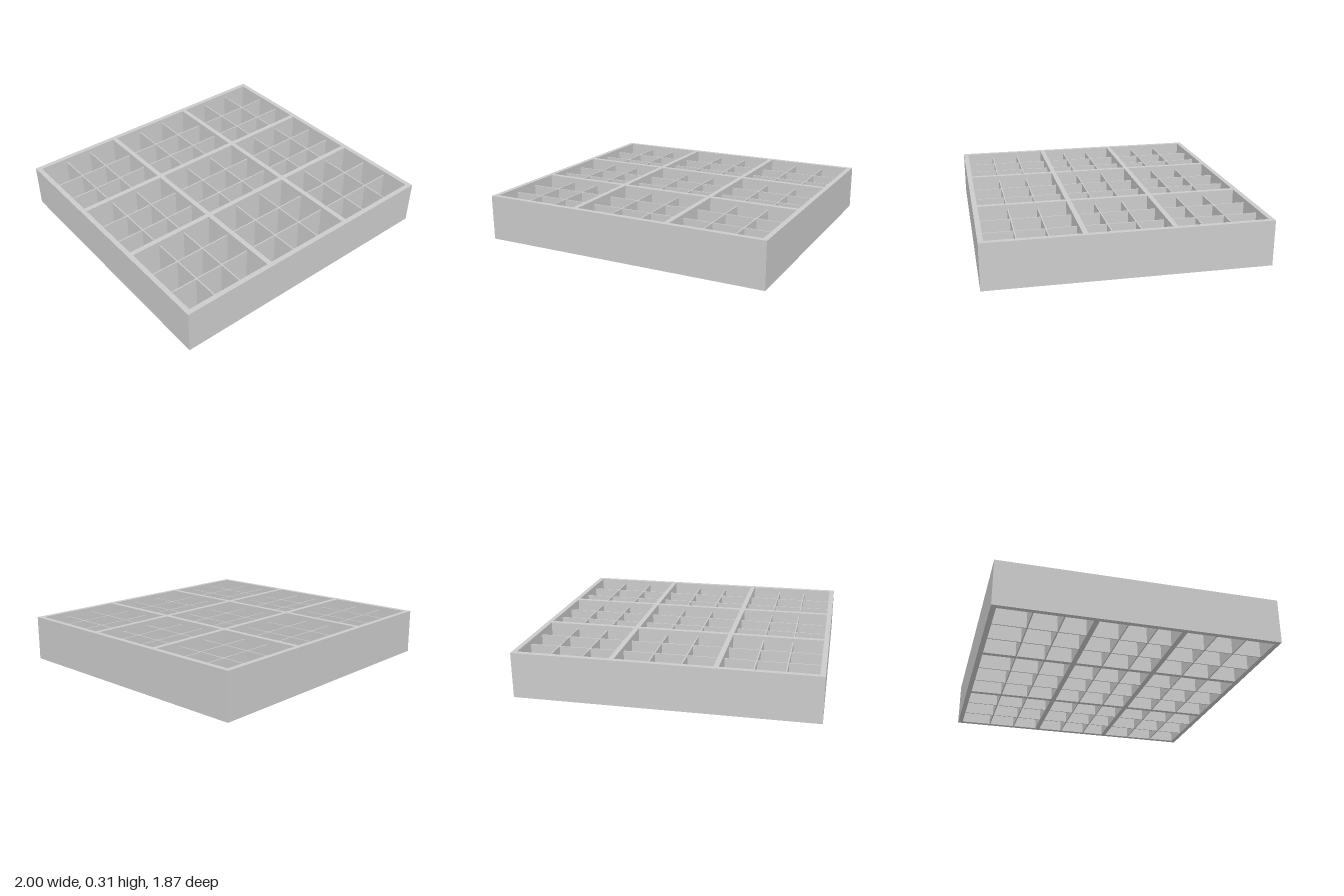
import * as THREE from 'three';

const HEIGHT = 0.31, WIDTH = 2, DEPTH = 1.87;
const RAIL = 0.034; // thickness of the frame and main bars
const SLAT_HEIGHT = 0.28, SLAT = 0.008; // thin dividers

export function createModel() {
  const model = new THREE.Group();
  model.name = 'dividedTray';
  const material = new THREE.MeshStandardMaterial({ color: 0xcccccc });

  // Outer frame and main bars: one slab with nine rectangular openings
  const slab = new THREE.Shape([
    new THREE.Vector2(-WIDTH / 2, -DEPTH / 2), new THREE.Vector2(WIDTH / 2, -DEPTH / 2),
    new THREE.Vector2(WIDTH / 2, DEPTH / 2), new THREE.Vector2(-WIDTH / 2, DEPTH / 2),
  ]);
  const spans = (half, bar) => [
    [-half + RAIL, -bar - RAIL / 2],
    [-bar + RAIL / 2, bar - RAIL / 2],
    [bar + RAIL / 2, half - RAIL],
  ];
  for (const [x0, x1] of spans(WIDTH / 2, 0.335)) {
    for (const [y0, y1] of spans(DEPTH / 2, 0.285)) {
      slab.holes.push(new THREE.Path([
        new THREE.Vector2(x0, y0), new THREE.Vector2(x0, y1),
        new THREE.Vector2(x1, y1), new THREE.Vector2(x1, y0),
      ]));
    }
  }
  const frameGeometry = new THREE.ExtrudeGeometry(slab, { depth: HEIGHT, bevelEnabled: false });
  frameGeometry.rotateX(-Math.PI / 2);
  const frame = new THREE.Mesh(frameGeometry, material);
  frame.name = 'frame';
  model.add(frame);

  // Thin slats, two in each bay and direction, ending inside the frame
  const addSlat = (name, sx, sz, x, z) => {
    const slat = new THREE.Mesh(new THREE.BoxGeometry(sx, SLAT_HEIGHT, sz), material);
    slat.name = name;
    slat.position.set(x, SLAT_HEIGHT / 2 + 0.001, z);
    model.add(slat);
  };
  for (const x of [-0.76, -0.56, -0.105, 0.11, 0.55, 0.765]) {
    addSlat('lengthwiseSlat', SLAT, DEPTH - RAIL, x, 0);
  }
  for (const z of [-0.68, -0.485, -0.085, 0.105, 0.5, 0.7]) {
    addSlat('crosswiseSlat', WIDTH - RAIL, SLAT, 0, z);
  }
  return model;
}
